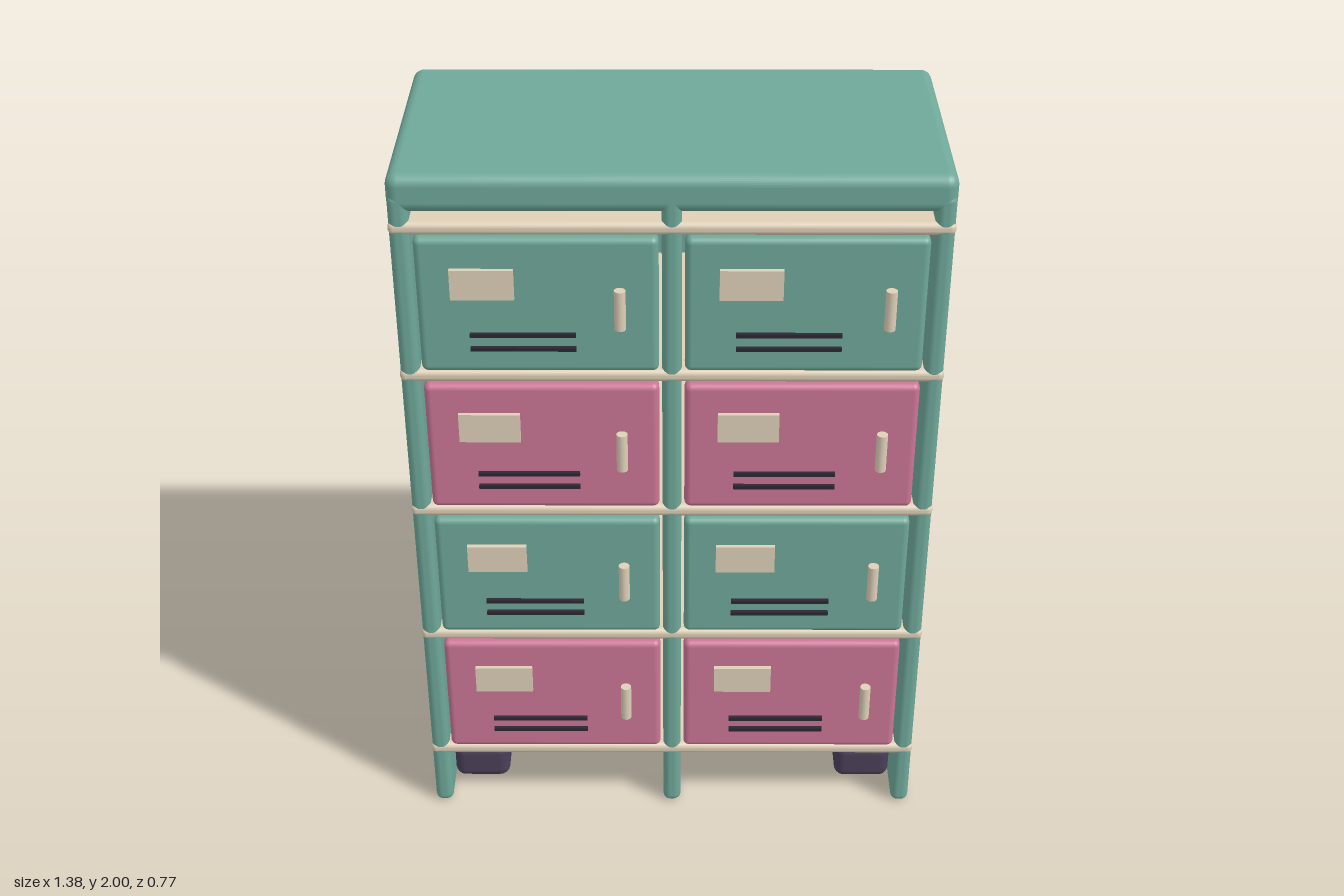
import * as THREE from 'three';
import { RoundedBoxGeometry } from 'three/addons/geometries/RoundedBoxGeometry.js';

const mat = (color) => new THREE.MeshStandardMaterial({ color });

export function createModel() {
  const model = new THREE.Group();
  model.name = 'lockerCabinet';

  const green = mat(0x6fa899);
  const pink = mat(0xcb7595);
  const cream = mat(0xdfd0b8);
  const dark = mat(0x2c2733);
  const purple = mat(0x4b3f58);

  // Box given by its limits on each axis; radius 0 keeps sharp edges
  function box(name, [x0, x1], [y0, y1], [z0, z1], radius, material, parent = model) {
    const w = x1 - x0, h = y1 - y0, d = z1 - z0;
    const geometry = radius
      ? new RoundedBoxGeometry(w, h, d, 4, radius)
      : new THREE.BoxGeometry(w, h, d);
    const mesh = new THREE.Mesh(geometry, material);
    mesh.position.set((x0 + x1) / 2, (y0 + y1) / 2, (z0 + z1) / 2);
    mesh.name = name;
    parent.add(mesh);
    return mesh;
  }

  const back = -0.383, front = 0.31;

  // Carcass: top, back and three upright panels
  box('topPanel', [-0.692, 0.692], [1.9, 2], [back - 0.002, front], 0.03, green);
  box('backPanel', [-0.69, 0.69], [0.003, 1.95], [back, back + 0.04], 0.015, green);
  for (const [name, x] of [['rightSide', -0.665], ['divider', 0], ['leftSide', 0.665]]) {
    box(name, [x - 0.025, x + 0.025], [0, 1.95], [back, front], 0.02, green);
  }

  // Shelves, whose rounded edges just show through the panels
  const rowStep = 0.415;
  for (let i = 0; i < 5; i++) {
    const y = 0.2 + i * rowStep;
    box('shelf', [-0.692, 0.692], [y - 0.0175, y + 0.0175], [back - 0.002, front + 0.001], 0.015, cream);
  }

  // One locker door with its label plate, vents and handle
  function locker(material) {
    const group = new THREE.Group();
    group.name = 'locker';
    box('door', [-0.3, 0.3], [-0.188, 0.188], [0.27, 0.32], 0.017, material, group);
    box('labelPlate', [-0.215, -0.057], [0.025, 0.107], [0.318, 0.332], 0, cream, group);
    for (const y of [-0.077, -0.116]) {
      box('ventSlot', [-0.172, 0.093], [y - 0.005, y + 0.005], [0.318, 0.331], 0, dark, group);
    }
    const handle = new THREE.Mesh(new THREE.CylinderGeometry(0.0145, 0.0145, 0.108, 16), cream);
    handle.name = 'handle';
    handle.position.set(0.205, 0.018, 0.367);
    group.add(handle);
    return group;
  }

  // Four rows of two, colours alternating by row
  for (let row = 0; row < 4; row++) {
    for (const x of [-0.3325, 0.3325]) {
      const unit = locker(row % 2 ? green : pink);
      unit.position.set(x, 0.2 + (row + 0.5) * rowStep, 0);
      model.add(unit);
    }
  }

  // Long feet under the bottom shelf
  for (const x of [-0.56, 0.56]) {
    box('foot', [x - 0.08, x + 0.08], [0.008, 0.125], [-0.3, 0.22], 0.03, purple);
  }

  return model;
}
